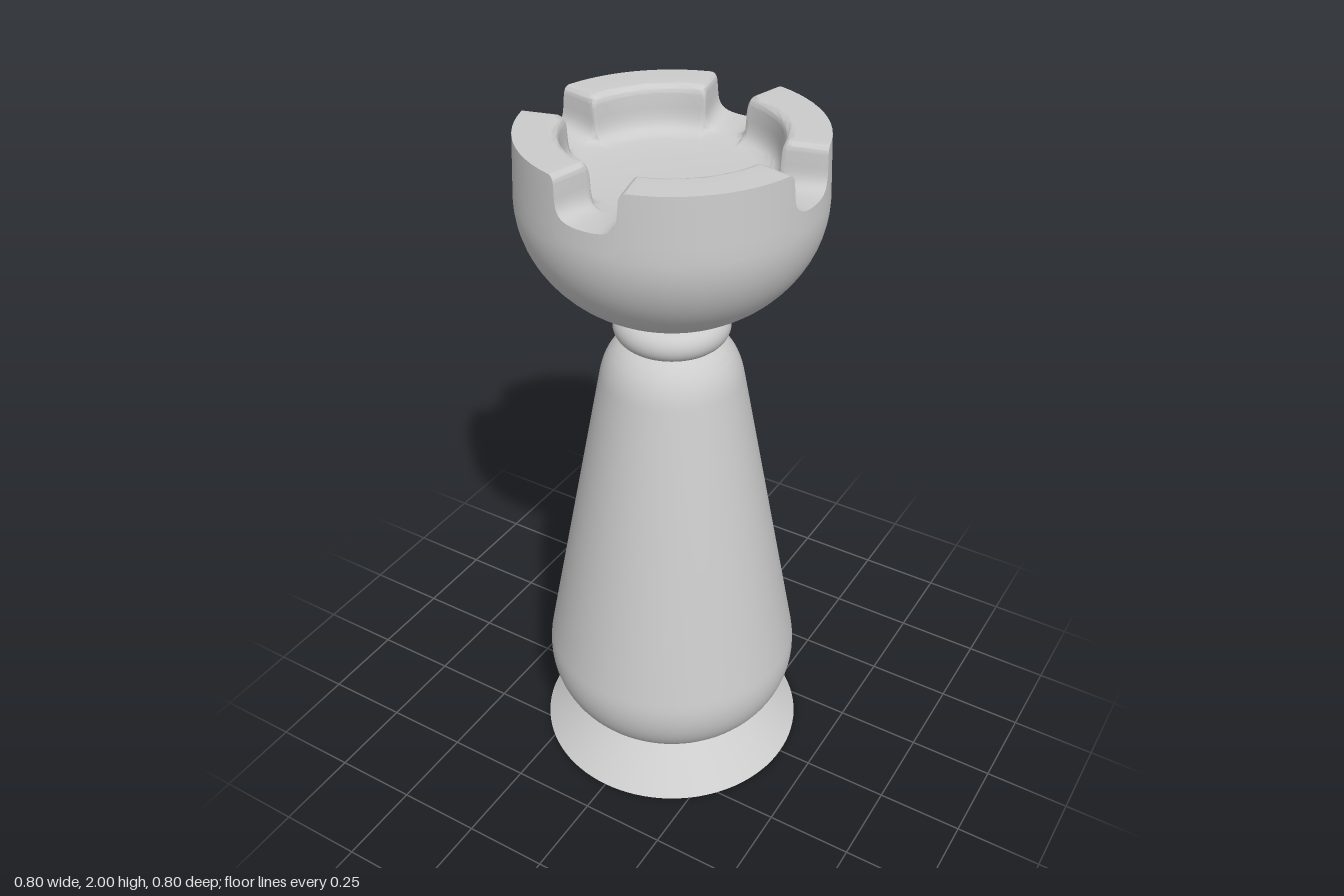
import * as THREE from 'three';
import { toCreasedNormals } from 'three/addons/utils/BufferGeometryUtils.js';

const FLOOR = 1.87, TOP = 2, EQUATOR = 1.83;

// Crenellated bowl: a polar grid running from the floor centre, over the
// battlements, down the outer wall and under the bowl.
function battlementBowl() {
  // Half a notch: angle from the notch centre -> height fraction
  const notch = new THREE.Path().moveTo(0, 0);
  notch.bezierCurveTo(0.14, 0, 0.215, 0.05, 0.22, 0.5);
  notch.lineTo(0.225, 0.75);
  notch.quadraticCurveTo(0.228, 1, 0.275, 1);
  for (let k = 1; k <= 6; k++) notch.lineTo(0.275 + (Math.PI / 4 - 0.275) * k / 6, 1);
  const half = notch.getPoints(9);

  // Inner wall: radius fraction -> height fraction
  const wall = new THREE.Path().moveTo(0, 0);
  wall.lineTo(0.3, 0);
  wall.lineTo(0.56, 0);
  wall.bezierCurveTo(0.66, 0, 0.69, 0.1, 0.7, 0.5);
  wall.lineTo(0.705, 0.75);
  wall.quadraticCurveTo(0.71, 1, 0.77, 1);
  wall.lineTo(0.88, 1);
  wall.lineTo(1, 1);
  const radial = wall.getPoints(9);

  // Four mirrored notches around the rim
  const columns = [];
  for (let q = 0; q < 4; q++) {
    const mid = q * Math.PI / 2;
    for (let k = half.length - 1; k > 0; k--) columns.push([mid - half[k].x, half[k].y]);
    for (let k = 0; k < half.length - 1; k++) columns.push([mid + half[k].x, half[k].y]);
  }

  const rimRadius = y => 0.4 - 0.008 * (y - EQUATOR) / (TOP - EQUATOR);
  const height = (f, b, a) => {
    const base = FLOOR + 0.02 * THREE.MathUtils.smoothstep(f, 0.4, 0.9);
    return base + (TOP - base) * a * b;
  };

  // Each row maps a column's height fraction to [radius, y]
  const rows = radial.map(p => a => {
    const y = height(p.x, p.y, a);
    return [p.x * rimRadius(y), y];
  });
  for (let k = 1; k <= 4; k++) rows.push(a => {
    const y = THREE.MathUtils.lerp(height(1, 1, a), EQUATOR, k / 4);
    return [rimRadius(y), y];
  });
  const end = Math.asin((EQUATOR - 1.495) / 0.34);
  for (let k = 1; k <= 18; k++) {
    const t = end * k / 18;
    rows.push(() => [0.4 * Math.cos(t), EQUATOR - 0.34 * Math.sin(t)]);
  }
  rows.push(() => [0, 1.495]);

  const positions = [], index = [], n = columns.length;
  rows.forEach((row, j) => columns.forEach(([angle, a], i) => {
    const [r, y] = row(a);
    positions.push(r * Math.cos(angle), y, r * Math.sin(angle));
    if (j === rows.length - 1) return;
    const p = j * n + i, q = j * n + (i + 1) % n;
    if (j > 0) index.push(p, q, p + n);
    if (j < rows.length - 2) index.push(q, q + n, p + n);
  }));
  const geometry = new THREE.BufferGeometry();
  geometry.setAttribute('position', new THREE.Float32BufferAttribute(positions, 3));
  geometry.setIndex(index);
  return toCreasedNormals(geometry, 0.9);
}

export function createModel() {
  const group = new THREE.Group();
  const material = new THREE.MeshStandardMaterial({ color: 0xcccccc });
  const add = (name, geometry, y = 0) => {
    const mesh = new THREE.Mesh(geometry, material);
    mesh.name = name;
    mesh.position.y = y;
    group.add(mesh);
  };

  // Flared foot
  add('foot', new THREE.CylinderGeometry(0.26, 0.4, 0.12, 96), 0.06);

  // Tapered body with rounded ends
  const body = new THREE.Path().moveTo(0, 0.11);
  body.lineTo(0.265, 0.11);
  body.bezierCurveTo(0.35, 0.16, 0.395, 0.26, 0.373, 0.37);
  body.lineTo(0.2, 1.29);
  body.bezierCurveTo(0.187, 1.36, 0.155, 1.395, 0.12, 1.41);
  body.lineTo(0, 1.41);
  add('body', toCreasedNormals(new THREE.LatheGeometry(body.getPoints(14), 96), 0.7));

  // Rounded collar
  const collar = new THREE.Path().moveTo(0, 1.404);
  collar.lineTo(0.114, 1.404);
  collar.absarc(0.114, 1.45, 0.046, -Math.PI / 2, Math.PI / 2, false);
  collar.lineTo(0, 1.496);
  add('collar', new THREE.LatheGeometry(collar.getPoints(10), 96));

  // Head with four notches
  add('battlementHead', battlementBowl());
  return group;
}
